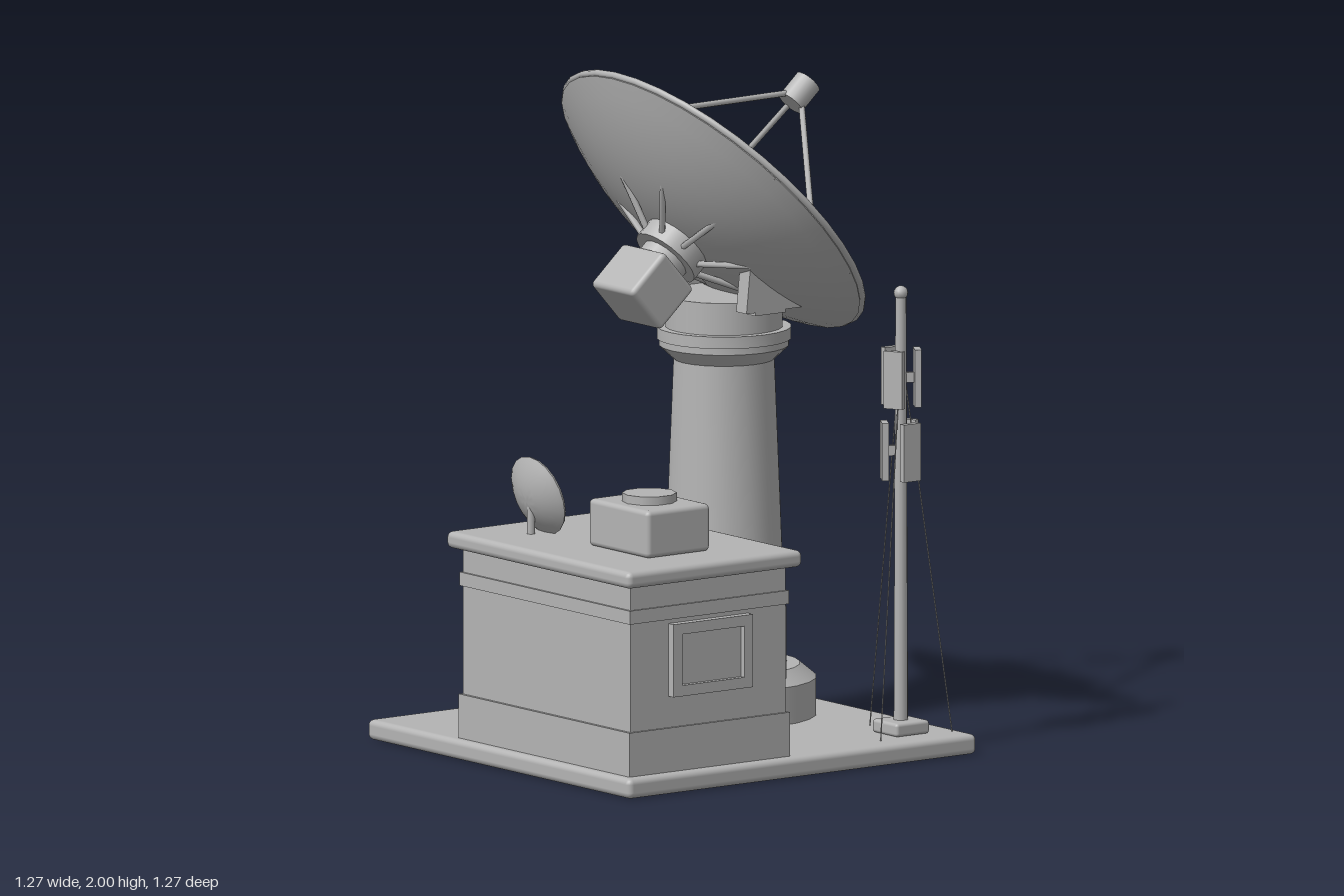
import * as THREE from 'three';
import { toCreasedNormals } from 'three/addons/utils/BufferGeometryUtils.js';
import { RoundedBoxGeometry } from 'three/addons/geometries/RoundedBoxGeometry.js';

const grey = new THREE.MeshStandardMaterial({ color: 0xb4b4b4 });
grey.name = 'stationGrey';

const V = (x, y, z) => new THREE.Vector3(x, y, z);

function add(parent, name, geometry, x = 0, y = 0, z = 0) {
  const mesh = new THREE.Mesh(geometry, grey);
  mesh.name = name;
  mesh.position.set(x, y, z);
  parent.add(mesh);
  return mesh;
}

function group(parent, name, x = 0, y = 0, z = 0) {
  const g = new THREE.Group();
  g.name = name;
  g.position.set(x, y, z);
  parent.add(g);
  return g;
}

const box = (w, h, d) => new THREE.BoxGeometry(w, h, d);
const rounded = (w, h, d, r) => new RoundedBoxGeometry(w, h, d, 2, r);
const cyl = (r, h, n = 24) => new THREE.CylinderGeometry(r, r, h, n);

// Revolved profile with crisp edges
function lathe(points, segments) {
  const g = new THREE.LatheGeometry(points.map(p => new THREE.Vector2(p[0], p[1])), segments);
  return toCreasedNormals(g, 0.55);
}

// Round bar between two points
function bar(parent, name, a, b, r, sides = 8) {
  const dir = b.clone().sub(a);
  const m = add(parent, name, cyl(r, dir.length(), sides));
  m.position.copy(a).add(b).multiplyScalar(0.5);
  m.quaternion.setFromUnitVectors(V(0, 1, 0), dir.normalize());
}

// Closed paraboloid shell, vertex at the origin, opening toward +y
function bowl(radius, depth, thick, segments) {
  const pts = [];
  const n = 10;
  for (let i = 0; i <= n; i++) {
    const r = radius * i / n;
    pts.push([r, depth * (i / n) ** 2 - thick]);
  }
  for (let i = n; i >= 0; i--) {
    const r = (radius - thick * 0.6) * i / n;
    pts.push([r, depth * (i / n) ** 2]);
  }
  return lathe(pts, segments);
}

// Raised frame with a recessed pane, facing +z
function framedWindow(parent, x, y, z, turn) {
  const w = 0.29 * (turn === Math.PI ? 0.72 : 1), h = 0.215, t = 0.032;
  const g = group(parent, 'window', x, y, z);
  g.rotation.y = turn;
  for (const s of [-1, 1]) {
    add(g, 'windowFrame', box(w, t, 0.025), 0, s * (h - t) / 2, 0.0125);
    add(g, 'windowFrame', box(t, h - 2 * t, 0.025), s * (w - t) / 2, 0, 0.0125);
  }
  add(g, 'windowPane', box(w - 2 * t, h - 2 * t, 0.009), 0, 0, 0.0045);
}

function buildHouse(root) {
  const house = group(root, 'equipmentBuilding', 0.19, 0, 0.317);
  add(house, 'walls', box(0.81, 0.58, 0.565), 0, 0.34, 0);
  add(house, 'plinth', box(0.825, 0.13, 0.585), 0, 0.125, 0);
  add(house, 'trimBand', box(0.822, 0.04, 0.58), 0, 0.53, 0);
  add(house, 'roofSlab', rounded(0.887, 0.05, 0.637, 0.018), 0, 0.645, 0);

  framedWindow(house, 0.405, 0.39, 0, Math.PI / 2);
  for (const s of [-1, 1]) framedWindow(house, s * 0.27, 0.39, -0.2825, Math.PI);

  // Rear door with lamp and steps
  add(house, 'door', box(0.2, 0.45, 0.022), 0, 0.345, -0.293);
  add(house, 'doorLamp', box(0.05, 0.02, 0.03), 0, 0.59, -0.295);
  add(house, 'upperStep', box(0.26, 0.06, 0.1), 0, 0.09, -0.34);
  add(house, 'lowerStep', box(0.26, 0.035, 0.07), 0, 0.0775, -0.42);

  // Rooftop cooling unit
  add(root, 'coolingUnit', rounded(0.29, 0.14, 0.23, 0.015), 0.337, 0.74, 0.337);
  add(root, 'fanCap', cyl(0.08, 0.03, 10), 0.337, 0.82, 0.337);

  // Small rooftop dish
  add(root, 'smallDishPost', cyl(0.012, 0.11, 10), -0.065, 0.725, 0.465);
  const small = group(root, 'smallDish', -0.065, 0.77, 0.475);
  small.rotation.x = -1.3;
  add(small, 'smallReflector', bowl(0.122, 0.045, 0.008, 20));
  add(small, 'smallFeedArm', cyl(0.006, 0.06, 8), 0, 0.03, 0);
  add(small, 'smallFeed', cyl(0.015, 0.025, 10), 0, 0.06, 0);
}

function buildTower(root) {
  const tower = group(root, 'tower', -0.087, 0, -0.255);
  add(tower, 'towerColumn', lathe([
    [0, 0.05], [0.27, 0.05], [0.27, 0.17], [0.222, 0.21], [0.184, 0.21],
    [0.148, 1.11], [0.19, 1.15], [0.19, 1.17], [0.197, 1.17], [0.197, 1.205], [0, 1.205],
  ], 24));
  add(tower, 'turntable', cyl(0.172, 0.1, 24), 0, 1.25, 0);

  // Tapered yoke arms and the elevation axle
  const arm = new THREE.Shape([[-0.1, 1.28], [0.1, 1.28], [0.066, 1.6], [0.045, 1.63], [-0.045, 1.63], [-0.066, 1.6]]
    .map(p => new THREE.Vector2(p[0], p[1])));
  for (const s of [-1, 1]) {
    const g = new THREE.ExtrudeGeometry(arm, { depth: 0.05, bevelEnabled: false });
    g.translate(0, 0, -0.025);
    add(tower, 'yokeArm', g, s * 0.203, 0, -0.01).rotation.y = Math.PI / 2;
  }
  add(tower, 'yokeFoot', box(0.45, 0.03, 0.11), 0, 1.285, 0);
  add(tower, 'elevationAxle', cyl(0.04, 0.466, 20), 0, 1.62, -0.005).rotation.z = Math.PI / 2;
}

function buildDish(root) {
  // Local +y is the dish axis, local +z runs to the highest rim point
  const dish = group(root, 'mainDish', -0.087, 1.475, -0.095);
  dish.rotation.x = -0.841;
  const R = 0.54, D = 0.17;
  add(dish, 'reflector', bowl(R, D, 0.02, 36));
  const rim = new THREE.TorusGeometry(R - 0.003, 0.011, 8, 36);
  add(dish, 'rim', rim.rotateX(Math.PI / 2), 0, D - 0.006, 0);

  // Hub and electronics housing behind the dish
  add(dish, 'hub', cyl(0.105, 0.12, 20), 0, -0.012, 0);
  add(dish, 'hubNeck', cyl(0.075, 0.06, 16), 0, -0.09, 0);
  add(dish, 'receiverHousing', rounded(0.205, 0.165, 0.165, 0.015), 0, -0.185, 0);

  // Radial stiffeners
  for (let i = 0; i < 8; i++) {
    const a = Math.PI / 8 + i * Math.PI / 4;
    const at = (r, h) => V(r * Math.sin(a), h, r * Math.cos(a));
    bar(dish, 'stiffener', at(0.09, -0.048), at(0.53, 0.155), 0.01, 6);
  }

  // Feed horn on a tripod
  add(dish, 'feedHorn', cyl(0.042, 0.085, 16), 0, 0.583, 0);
  for (let i = 0; i < 3; i++) {
    const a = i * Math.PI * 2 / 3;
    const at = (r, h) => V(r * Math.sin(a), h, r * Math.cos(a));
    bar(dish, 'feedStrut', at(0.43, 0.1), at(0.025, 0.56), 0.009);
  }

  // Cable from the turntable to the hub
  const path = new THREE.CatmullRomCurve3([V(-0.22, 1.28, -0.19), V(-0.22, 1.49, -0.19), V(-0.16, 1.55, -0.17), V(-0.11, 1.5, -0.085)]);
  add(root, 'cable', new THREE.TubeGeometry(path, 20, 0.009, 8));
}

function buildMast(root) {
  const mast = group(root, 'antennaMast', 0.485, 0, -0.468);
  add(mast, 'mastFoot', rounded(0.122, 0.04, 0.122, 0.01), 0, 0.08, 0);
  add(mast, 'mastPole', new THREE.CylinderGeometry(0.016, 0.021, 1.26, 12), 0, 0.72, 0);
  add(mast, 'mastTip', new THREE.SphereGeometry(0.021, 12, 8), 0, 1.36, 0);

  // Two tiers of three panel antennas
  [[1.11, 0.5], [0.895, 1.55]].forEach(([y, start]) => {
    for (let i = 0; i < 3; i++) {
      const tier = group(mast, 'panelAntenna', 0, y, 0);
      tier.rotation.y = start + i * Math.PI * 2 / 3;
      add(tier, 'panel', box(0.06, 0.17, 0.02), 0, 0, 0.048);
      add(tier, 'panelBracket', box(0.015, 0.03, 0.04), 0, 0, 0.025);
    }
  });

  // Guy wires
  for (let i = 0; i < 3; i++) {
    const a = Math.PI + i * Math.PI * 2 / 3;
    bar(mast, 'guyWire', V(0, 1.2, 0), V(0.15 * Math.cos(a), 0.06, 0.15 * Math.sin(a)), 0.002, 5);
  }
}

export function createModel() {
  const root = new THREE.Group();
  root.name = 'groundStation';
  add(root, 'basePlate', rounded(1.27, 0.06, 1.27, 0.018), 0, 0.03, 0);
  buildHouse(root);
  buildTower(root);
  buildDish(root);
  buildMast(root);
  return root;
}
